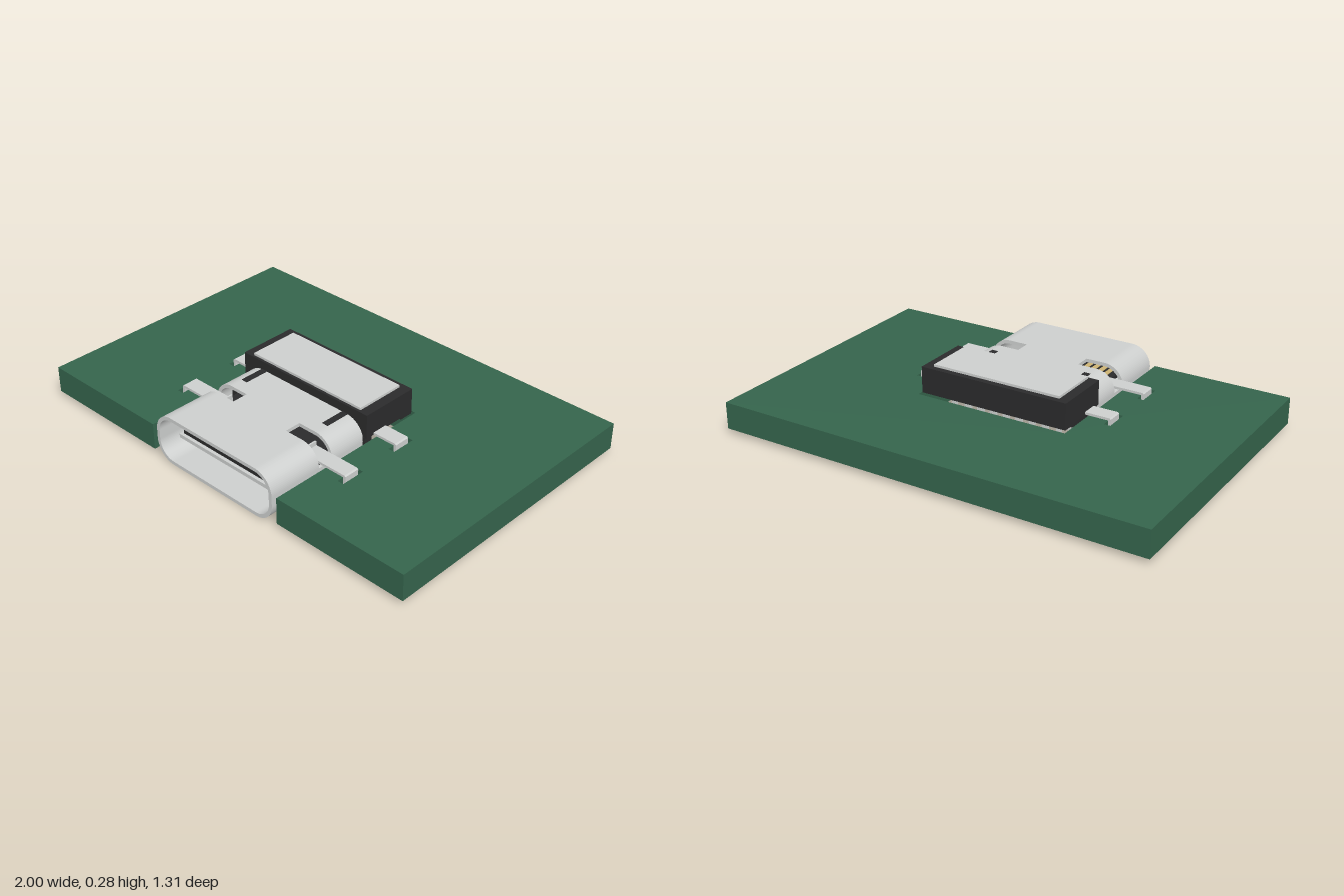
import * as THREE from 'three';

const mat = (name, color) => {
  const m = new THREE.MeshStandardMaterial({ color });
  m.name = name;
  return m;
};

// Outline of a rounded rectangle centred at (0, cy)
function roundRect(target, hw, hh, r, cy) {
  target.moveTo(hw, cy - hh + r);
  target.lineTo(hw, cy + hh - r);
  target.absarc(hw - r, cy + hh - r, r, 0, Math.PI / 2);
  target.lineTo(-hw + r, cy + hh);
  target.absarc(-hw + r, cy + hh - r, r, Math.PI / 2, Math.PI);
  target.lineTo(-hw, cy - hh + r);
  target.absarc(-hw + r, cy - hh + r, r, Math.PI, Math.PI * 1.5);
  target.lineTo(hw - r, cy - hh);
  target.absarc(hw - r, cy - hh + r, r, Math.PI * 1.5, Math.PI * 2);
  return target;
}

export function createModel() {
  const green = mat('board green', 0x35644c);
  const steel = mat('steel', 0xcdcfce);
  const black = mat('black plastic', 0x2b2b2c);
  const gold = mat('contact gold', 0xcdb373);

  const model = new THREE.Group();
  model.name = 'boardWithSocket';

  const add = (name, geo, material, parent = model) => {
    const mesh = new THREE.Mesh(geo, material);
    mesh.name = name;
    parent.add(mesh);
    return mesh;
  };
  // Box given by its limits on each axis
  const block = (name, x0, x1, y0, y1, z0, z1, material, parent) => {
    const b = add(name, new THREE.BoxGeometry(x1 - x0, y1 - y0, z1 - z0), material, parent);
    b.position.set((x0 + x1) / 2, (y0 + y1) / 2, (z0 + z1) / 2);
    return b;
  };
  const extrudeZ = (shape, z0, z1) =>
    new THREE.ExtrudeGeometry(shape, { depth: z1 - z0, bevelEnabled: false, curveSegments: 10 }).translate(0, 0, z0);
  const group = (name) => {
    const g = new THREE.Group();
    g.name = name;
    model.add(g);
    return g;
  };

  // Circuit board with a notch at the front edge and four slots
  const D = 0.655;
  const board = new THREE.Shape([
    [-1, -D], [-0.36, -D], [-0.36, 0.153], [0.36, 0.153],
    [0.36, -D], [1, -D], [1, D], [-1, D],
  ].map(([x, y]) => new THREE.Vector2(x, y)));
  for (const s of [-1, 1]) {
    for (const z of [0.062, 0.358]) {
      const hole = new THREE.Path();
      hole.moveTo(s * 0.452, -z - 0.056);
      hole.lineTo(s * 0.482, -z - 0.056);
      hole.lineTo(s * 0.482, -z + 0.056);
      hole.lineTo(s * 0.452, -z + 0.056);
      hole.closePath();
      board.holes.push(hole);
    }
  }
  add('circuitBoard', new THREE.ExtrudeGeometry(board, { depth: 0.122, bevelEnabled: false })
    .rotateX(-Math.PI / 2).translate(0, 0.025, 0), green);

  // Steel shell: a rounded tube, opened at the sides by two windows
  const cy = 0.116, hw = 0.335, hh = 0.114, r = 0.092, t = 0.016;
  const shell = group('shell');
  const ring = roundRect(new THREE.Shape(), hw, hh, r, cy);
  ring.holes.push(roundRect(new THREE.Path(), hw - t, hh - t, r - t, cy));
  add('shellRear', extrudeZ(ring, 0.14, 0.32), steel, shell);
  add('shellFront', extrudeZ(ring, 0.395, D), steel, shell);

  // Lower trough and top bridge between the windows
  const trough = new THREE.Shape();
  const top = 0.138;
  trough.moveTo(-hw, top);
  trough.lineTo(-hw, cy - hh + r);
  trough.absarc(-hw + r, cy - hh + r, r, Math.PI, Math.PI * 1.5);
  trough.lineTo(hw - r, cy - hh);
  trough.absarc(hw - r, cy - hh + r, r, Math.PI * 1.5, Math.PI * 2);
  trough.lineTo(hw, top);
  trough.lineTo(hw - t, top);
  trough.lineTo(hw - t, cy - hh + r);
  trough.absarc(hw - r, cy - hh + r, r - t, 0, -Math.PI / 2, true);
  trough.lineTo(-hw + r, cy - hh + t);
  trough.absarc(-hw + r, cy - hh + r, r - t, -Math.PI / 2, -Math.PI, true);
  trough.lineTo(-hw + t, top);
  add('shellTrough', extrudeZ(trough, 0.32, 0.395), steel, shell);
  block('shellBridge', -0.153, 0.153, cy + hh - t, cy + hh, 0.32, 0.395, steel, shell);

  // Mounting tabs bent down into the slots, and seams on the shell top
  const tabs = group('mountingTabs');
  for (const s of [-1, 1]) {
    for (const [z0, z1, inner] of [[0.025, 0.098, 0.33], [0.32, 0.393, 0.24]]) {
      const path = [[inner, 0.158], [0.462, 0.158], [0.462, 0.075], [0.474, 0.075], [0.474, 0.164], [0.468, 0.169], [inner, 0.169]];
      const profile = new THREE.Shape(path.map(([x, y]) => new THREE.Vector2(s * x, y)));
      add('mountingTab', extrudeZ(profile, z0, z1), steel, tabs);
    }
    block('tabLip', s * 0.244 - 0.004, s * 0.244 + 0.004, 0.165, 0.188, 0.32, 0.393, steel, tabs);
    block('shellSeam', s * 0.234 - 0.015, s * 0.234 + 0.015, 0.227, 0.232, 0.14, 0.257, black, shell);
  }

  // Black housing behind the shell, with a steel cover plate
  const housing = group('housing');
  block('housingBody', -0.353, 0.353, 0.158, 0.27, -0.135, 0.14, black, housing);
  block('housingFrontWall', -0.345, 0.345, 0.06, 0.16, 0.1, 0.142, black, housing);
  block('housingRearLip', -0.353, 0.353, 0.15, 0.16, -0.135, -0.07, black, housing);
  block('coverPlate', -0.307, 0.307, 0.268, 0.281, -0.108, 0.128, steel, housing);
  add('shellPlug', extrudeZ(roundRect(new THREE.Shape(), hw - t, hh - t, r - t, cy), 0.141, 0.25), black, housing);

  // Tongue with a steel mid plate and gold contacts on both faces
  const tongue = group('tongue');
  block('tongueBase', -0.275, 0.275, 0.078, 0.154, 0.24, 0.36, black, tongue);
  block('tongueBlade', -0.25, 0.25, 0.092, 0.138, 0.35, 0.585, black, tongue);
  block('midPlate', -0.26, 0.26, 0.104, 0.121, 0.35, 0.6, steel, tongue);
  for (let i = 0; i < 12; i++) {
    const x = (i - 5.5) * 0.0375;
    for (const y of [0.0915, 0.1385]) {
      block('contact', x - 0.0115, x + 0.0115, y - 0.002, y + 0.002, 0.36, 0.56, gold, tongue);
    }
  }

  // Two rows of solder pins under the housing
  const pins = group('solderPins');
  for (let row = 0; row < 2; row++) {
    for (let i = 0; i < 8; i++) {
      const x = (i - 3.5) * 0.064 + (row ? 0.016 : -0.016);
      const z = row ? -0.055 : 0.01;
      block('solderPin', x - 0.01, x + 0.01, 0.05, 0.16, z - 0.008, z + 0.008, steel, pins);
    }
  }
  return model;
}
